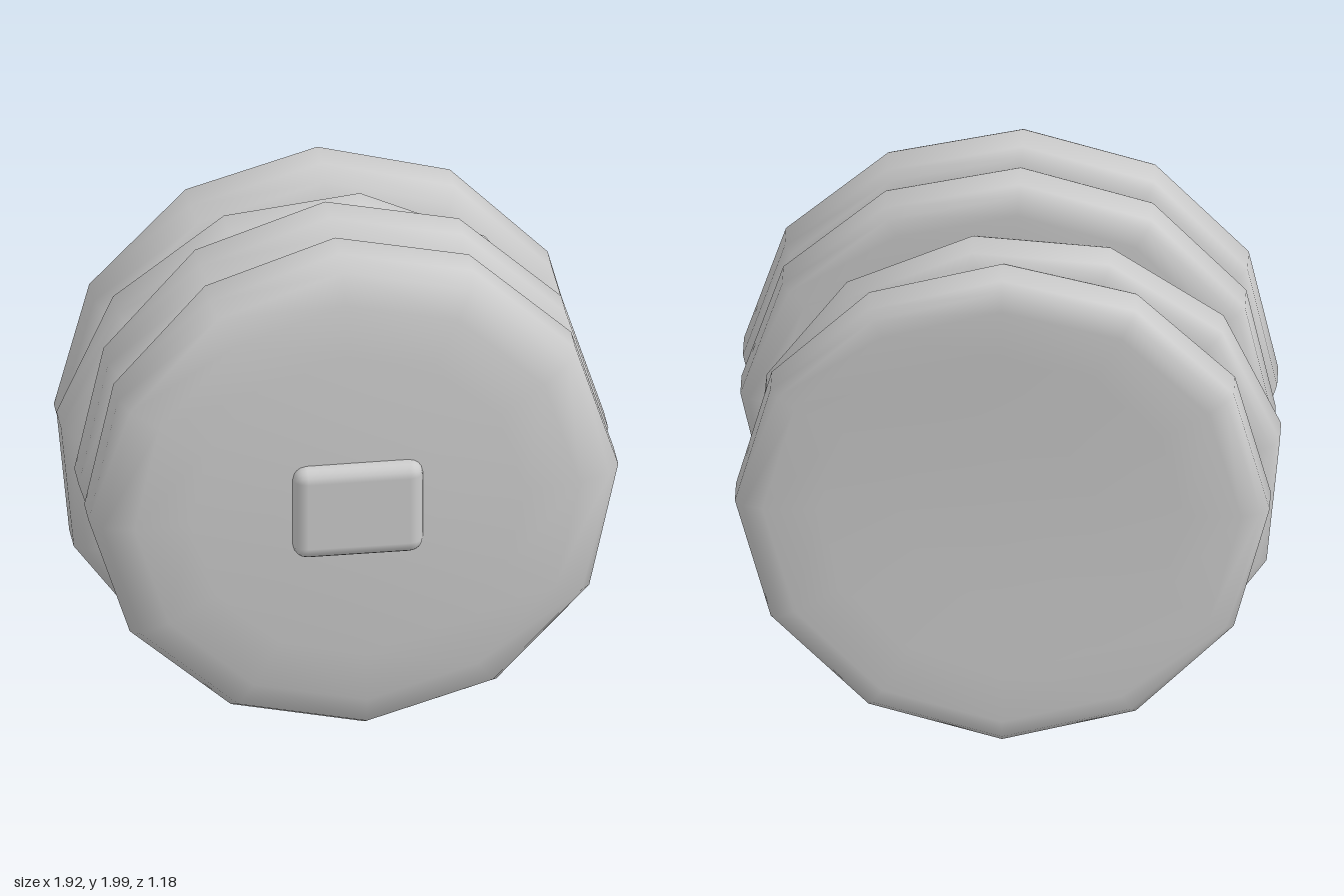
import * as THREE from 'three';
import { mergeVertices } from 'three/addons/utils/BufferGeometryUtils.js';
import { RoundedBoxGeometry } from 'three/addons/geometries/RoundedBoxGeometry.js';

const material = new THREE.MeshStandardMaterial({ color: 0xcccccc });
const R = 0.947;

// Half cross-section of a pancake: radius, height along its axis
const profile = [
  [0, -0.115], [0.35, -0.115], [0.65, -0.115], [R - 0.1, -0.112], [R - 0.03, -0.09], [R, -0.055],
  [R, 0.065], [R - 0.04, 0.13], [R - 0.15, 0.167], [0.6, 0.172], [0.3, 0.175], [0, 0.175],
].map(([r, h]) => new THREE.Vector2(r, h));

// Twelve-sided disc facing +z, its upper and lower edges drooping backwards
function pancakeGeometry(turn) {
  let geo = new THREE.LatheGeometry(profile, 12);
  geo.rotateX(Math.PI / 2);
  geo.rotateZ(THREE.MathUtils.degToRad(turn));
  const p = geo.attributes.position;
  const c = Math.cos(0.26), s = Math.sin(0.26);
  for (let i = 0; i < p.count; i++) {
    const u = (p.getY(i) * c + p.getX(i) * s) / R;
    p.setZ(i, p.getZ(i) - 0.042 * u * u - 0.006 * u);
  }
  geo.deleteAttribute('normal');
  geo.deleteAttribute('uv');
  geo = mergeVertices(geo, 1e-4);
  geo.computeVertexNormals();
  return geo;
}

export function createModel() {
  const group = new THREE.Group();
  group.name = 'pancakeStack';

  // Pancakes, front to back: x, y, z, turn in degrees
  [
    [0.01, 1.055, 0.37, 2.7],
    [0.01, 1.055, 0.105, 2.7],
    [-0.03, 0.942, -0.16, 20.5],
    [0.01, 0.977, -0.432, 0],
  ].forEach(([x, y, z, turn], i) => {
    const pancake = new THREE.Mesh(pancakeGeometry(turn), material);
    pancake.name = `pancake${i + 1}`;
    pancake.position.set(x, y, z);
    group.add(pancake);
  });

  // Butter pat on the front face
  const butter = new THREE.Mesh(new RoundedBoxGeometry(0.465, 0.36, 0.13, 2, 0.05), material);
  butter.name = 'butterPat';
  butter.position.set(0.01, 1.055, 0.53);
  group.add(butter);

  return group;
}
